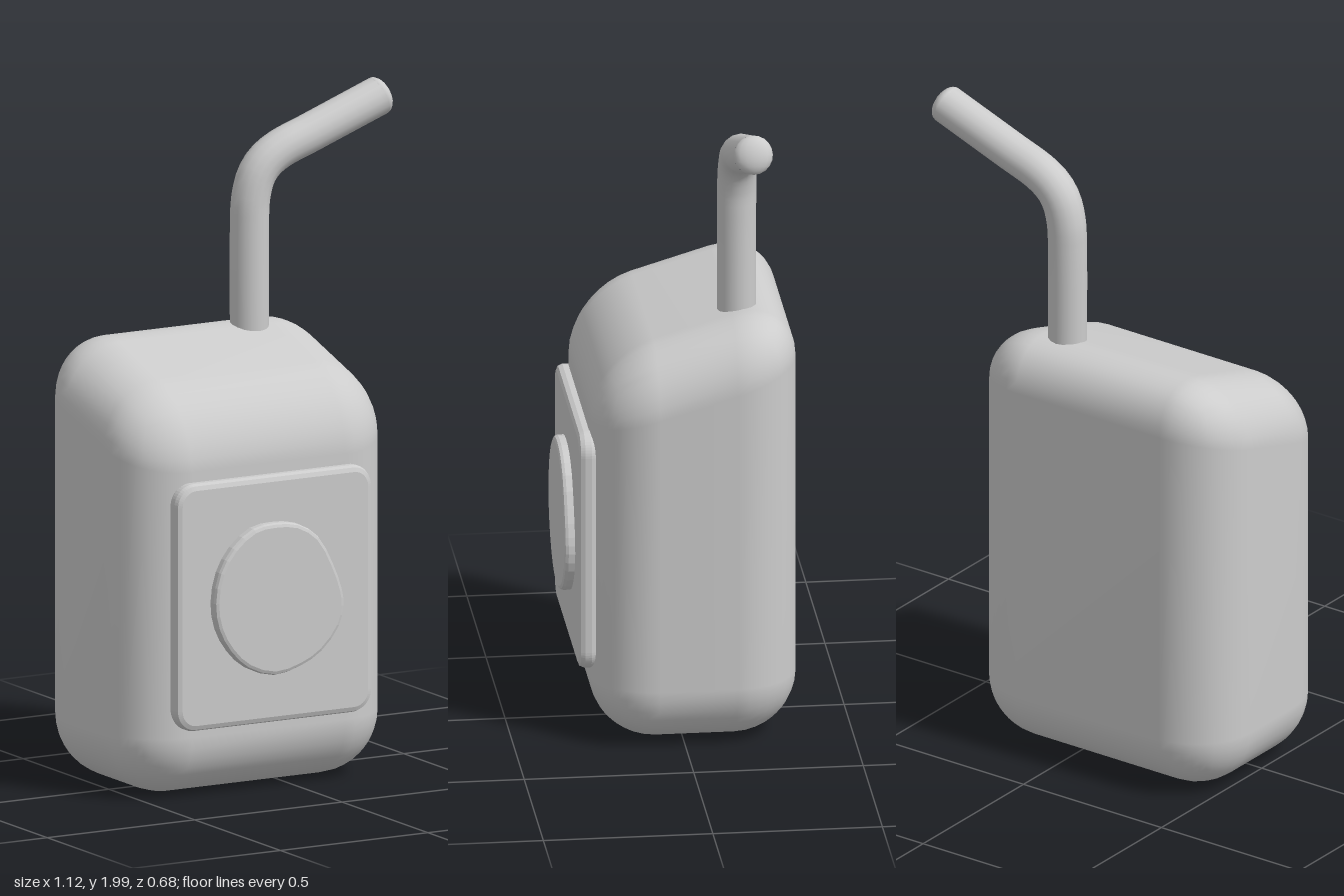
import * as THREE from 'three';
import { mergeVertices } from 'three/addons/utils/BufferGeometryUtils.js';
import { RoundedBoxGeometry } from 'three/addons/geometries/RoundedBoxGeometry.js';

const grey = new THREE.MeshStandardMaterial({ color: 0xcccccc });
grey.name = 'plainGrey';

function part(name, geometry) {
  const mesh = new THREE.Mesh(geometry, grey);
  mesh.name = name;
  return mesh;
}

// Soft carton whose top slopes down towards the front
function cartonGeometry() {
  const box = new RoundedBoxGeometry(0.9, 1.315, 0.61, 5, 0.19);
  box.translate(-0.115, 0.66, -0.035);
  const p = box.attributes.position;
  for (let i = 0; i < p.count; i++) {
    if (p.getY(i) > 0.66) p.setY(i, p.getY(i) - 0.3 * (p.getZ(i) + 0.2));
  }
  box.deleteAttribute('normal');
  box.deleteAttribute('uv');
  const smooth = mergeVertices(box, 1e-4);
  smooth.computeVertexNormals();
  return smooth;
}

// Rectangle with rounded corners
function roundedRect(x0, y0, x1, y1, r) {
  const s = new THREE.Shape();
  s.absarc(x1 - r, y1 - r, r, 0, Math.PI / 2);
  s.absarc(x0 + r, y1 - r, r, Math.PI / 2, Math.PI);
  s.absarc(x0 + r, y0 + r, r, Math.PI, Math.PI * 1.5);
  s.absarc(x1 - r, y0 + r, r, Math.PI * 1.5, Math.PI * 2);
  s.closePath();
  return s;
}

// Bevelled plate between two depths; the bevel stays inside the outline
function plate(shape, z0, z1, bevel, curveSegments) {
  const g = new THREE.ExtrudeGeometry(shape, {
    depth: z1 - z0 - 2 * bevel, bevelThickness: bevel, bevelSize: bevel,
    bevelOffset: -bevel, bevelSegments: 2, curveSegments,
  });
  return g.translate(0, 0, z0 + bevel);
}

export function createModel() {
  const model = new THREE.Group();
  model.name = 'drinkCarton';
  model.add(part('carton', cartonGeometry()));

  // Raised front panel
  model.add(part('frontPanel', plate(roundedRect(-0.445, 0.217, 0.22, 0.957, 0.065), 0.25, 0.305, 0.018, 6)));

  // Lopsided round badge on the panel
  const outline = [
    [-0.13, 0.82], [-0.2, 0.81], [-0.27, 0.76], [-0.315, 0.69], [-0.333, 0.6], [-0.32, 0.52],
    [-0.28, 0.45], [-0.22, 0.395], [-0.13, 0.365], [-0.04, 0.383], [0.03, 0.42], [0.09, 0.49],
    [0.106, 0.55], [0.1, 0.6], [0.07, 0.68], [0.02, 0.765], [-0.05, 0.81],
  ].map(([x, y]) => new THREE.Vector3(x, y, 0));
  const ring = new THREE.CatmullRomCurve3(outline, true).getPoints(34).slice(0, -1);
  const badge = new THREE.Shape(ring.map((v) => new THREE.Vector2(v.x, v.y)));
  model.add(part('badge', plate(badge, 0.29, 0.336, 0.012, 1)));

  // Bent straw with a softly closed tip
  const straw = new THREE.Group();
  straw.name = 'straw';
  const path = new THREE.CatmullRomCurve3([
    [0.078, 1.2], [0.078, 1.6], [0.082, 1.68], [0.1, 1.745], [0.13, 1.785],
    [0.18, 1.817], [0.28, 1.854], [0.515, 1.941],
  ].map(([x, y]) => new THREE.Vector3(x, y, -0.174)));
  straw.add(part('strawTube', new THREE.TubeGeometry(path, 40, 0.058, 16)));
  const tip = part('strawTip', new THREE.SphereGeometry(0.058, 16, 10));
  tip.scale.x = 0.55;
  tip.rotation.z = Math.atan2(0.087, 0.235);
  tip.position.set(0.515, 1.941, -0.174);
  straw.add(tip);
  model.add(straw);
  return model;
}
